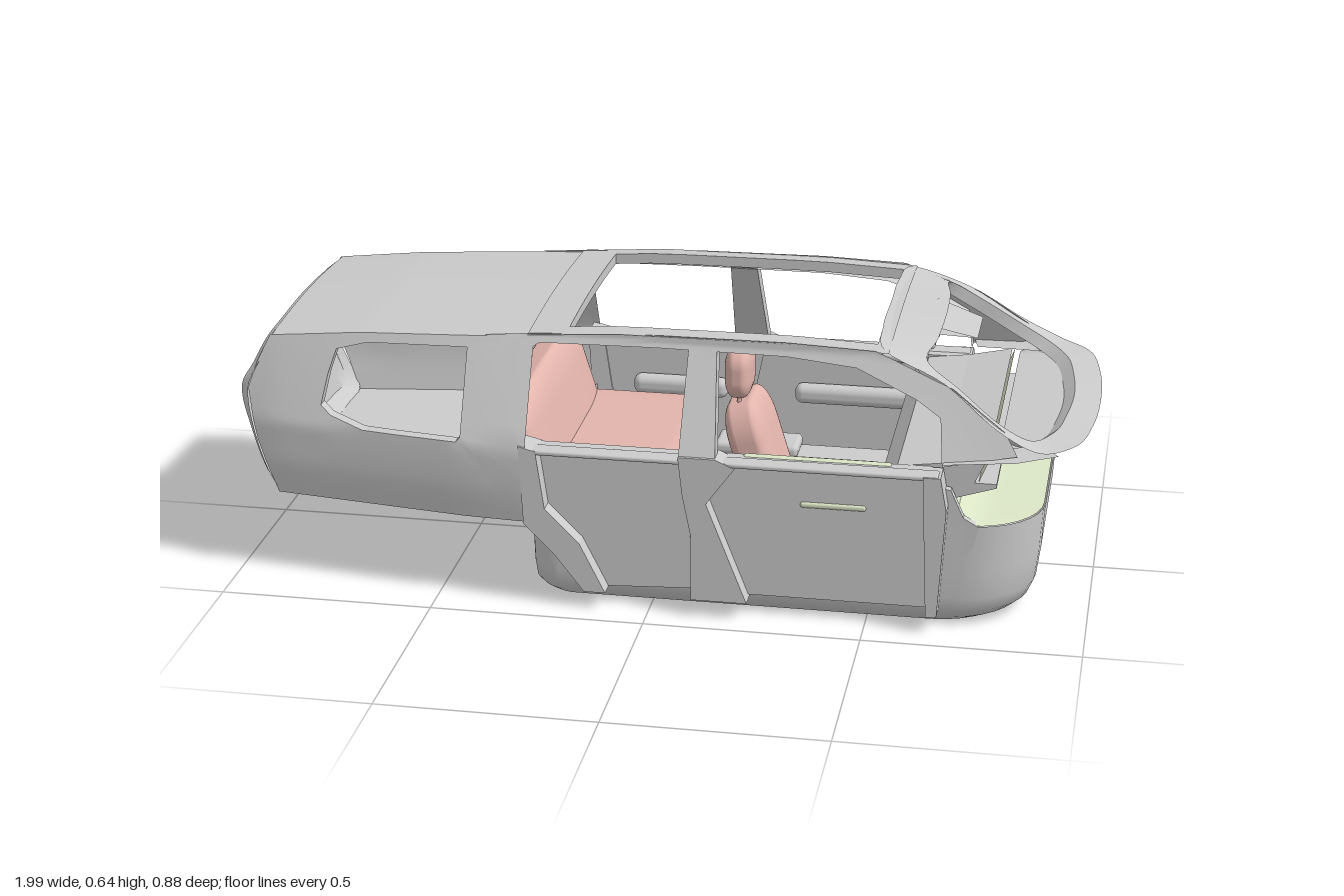
import * as THREE from 'three';
import { toCreasedNormals } from 'three/addons/utils/BufferGeometryUtils.js';
import { RoundedBoxGeometry } from 'three/addons/geometries/RoundedBoxGeometry.js';
import { ParametricGeometry } from 'three/addons/geometries/ParametricGeometry.js';

const material = (color) => new THREE.MeshStandardMaterial({ color, side: THREE.DoubleSide });
const grey = material(0xcccccc), pink = material(0xe2b4ac), green = material(0xdbe5c6);
const { lerp, clamp } = THREE.MathUtils;

// Point on a polyline, each segment taking an equal share of t
function along(pts, t) {
  const f = t * (pts.length - 1), i = Math.min(Math.floor(f), pts.length - 2);
  return pts[i].map((a, k) => lerp(a, pts[i + 1][k], f - i));
}

// Piecewise linear table lookup: [[x, value], ...]
function table(rows, x) {
  for (let i = 1; i < rows.length; i++) if (x <= rows[i][0] || i === rows.length - 1) {
    const [a, b] = [rows[i - 1], rows[i]];
    return lerp(a[1], b[1], clamp((x - a[0]) / (b[0] - a[0]), 0, 1));
  }
}

// Half width of the body at a station x and height y (vertical below the belt, leaning in above)
function halfWidth(x, y) {
  const belt = table([[-0.98, 0.34], [-0.9, 0.36], [-0.44, 0.425], [-0.3, 0.435], [0.6, 0.435], [0.82, 0.405]], x);
  const top = table([[-0.95, 0.28], [-0.4, 0.31], [0.5, 0.32]], x);
  return lerp(belt, top, clamp((y - 0.38) / 0.24, 0, 1)) - Math.max(0, 0.28 - y) * 0.15;
}

// Surface through matching polylines, optionally bent by a rule
function strip(rows, n = 5, m = 5, map = (p) => p) {
  const g = new ParametricGeometry((u, v, out) => {
    out.set(...map(along(rows.map((r) => along(r, u)), v)));
  }, (rows[0].length - 1) * n, (rows.length - 1) * m);
  return toCreasedNormals(g, 0.6);
}

// Smooth closed ring from its half, given from centre line to centre line
function ring(half) {
  const other = half.slice(1, -1).reverse().map(([x, y, z]) => [x, y, -z]);
  const curve = new THREE.CatmullRomCurve3([...half, ...other].map((p) => new THREE.Vector3(...p)), true);
  return curve.getPoints((half.length - 1) * 12).map((p) => p.toArray());
}

// Flat outline in x,y given a thickness from z0 to z1
function slab(pts, z0, z1) {
  const g = new THREE.ExtrudeGeometry(new THREE.Shape(pts.map((p) => new THREE.Vector2(...p))),
    { depth: z1 - z0, bevelEnabled: false });
  return g.translate(0, 0, z0);
}

// Closed rounded plan outline of the floor tub at height y
function tubOutline(front, side, y) {
  const out = [], x0 = -0.29 + side, x1 = 0.89 - front, w = 0.392 - side;
  const corners = [[x1, w, 0.17, 0], [x0, w, 0.07, 1], [x0, -w, 0.07, 2], [x1, -w, 0.17, 3]];
  for (const [cx, cz, r, q] of corners) for (let i = 0; i <= 8; i++) {
    const a = (q + i / 8) * Math.PI / 2;
    out.push([cx - Math.sign(cx - 0.3) * r + r * Math.cos(a), y, cz - Math.sign(cz) * r + r * Math.sin(a)]);
  }
  return [...out, out[0]];
}

export function createModel() {
  const model = new THREE.Group();
  const add = (name, geo, mat = grey, parent = model) => {
    const mesh = new THREE.Mesh(geo, mat);
    mesh.name = name;
    parent.add(mesh);
    return mesh;
  };
  const box = (name, size, pos, r = 0.01, mat = grey, parent = model) => {
    const mesh = add(name, new RoundedBoxGeometry(...size, 4, r), mat, parent);
    mesh.position.set(...pos);
    return mesh;
  };
  // Upholstery: a strongly rounded box stretched to size
  const pad = (name, size, pos, parent, r = 0.38) => {
    const mesh = add(name, new RoundedBoxGeometry(1, 1, 1, 8, r).scale(...size), pink, parent);
    mesh.position.set(...pos);
    return mesh;
  };

  // Floor tub with a tunnel slot in the bottom
  const levels = [[0.075, 0.034, 0], [0.05, 0.018, 0.015], [0.03, 0.006, 0.035], [0.015, 0.002, 0.07], [0.006, 0, 0.14], [0, 0, 0.25]];
  add('floorTub', strip(levels.map((l) => tubOutline(...l)), 1, 1));
  const bottom = new THREE.Shape(tubOutline(...levels[0]).map((p) => new THREE.Vector2(p[0], p[2])));
  const slot = (a, b, w, y) => [[a, y, -w], [b, y, -w], [b + 0.02, y, 0], [b, y, w], [a, y, w], [a - 0.02, y, 0], [a, y, -w]];
  bottom.holes.push(new THREE.Path(slot(0.1, 0.6, 0.07, 0).map((p) => new THREE.Vector2(p[0], p[2]))));
  add('floor', new THREE.ShapeGeometry(bottom).rotateX(Math.PI / 2));
  add('tunnel', strip([slot(0.1, 0.6, 0.07, 0), slot(0.14, 0.56, 0.045, 0.08), slot(0.34, 0.36, 0, 0.08)], 1, 1));

  // Both sides
  for (const s of [1, -1]) {
    const side = new THREE.Group();
    side.name = s > 0 ? 'leftSide' : 'rightSide';
    side.scale.z = s;
    model.add(side);
    const onBody = ([x, y, d]) => [x, y, halfWidth(x, y) - d];
    const at = (pts, d) => pts.map(([x, y]) => [x, y, d]);

    // Rear quarter panel around its window, with a reveal
    const quarter = [[-0.97, 0.45], [-0.95, 0.51], [-0.92, 0.573], [-0.7, 0.595], [-0.285, 0.615], [-0.285, 0.38],
      [-0.285, 0.2], [-0.6, 0.2], [-0.9, 0.2], [-0.945, 0.33], [-0.97, 0.45]];
    const glass = [[-0.785, 0.43], [-0.772, 0.5], [-0.755, 0.555], [-0.68, 0.575], [-0.44, 0.583], [-0.44, 0.395],
      [-0.45, 0.385], [-0.6, 0.385], [-0.68, 0.386], [-0.76, 0.41], [-0.785, 0.43]];
    add('rearQuarterPanel', strip([at(quarter, 0), at(glass, 0), at(glass, 0.03)], 5, 6, onBody), grey, side);

    // Roof rail running down into the windscreen pillar
    const rail = [[-0.4, 0.612], [-0.285, 0.622], [0, 0.635], [0.3, 0.637], [0.5, 0.63], [0.68, 0.56], [0.8, 0.475], [0.83, 0.425]];
    const opening = [[-0.3, 0.585], [-0.27, 0.603], [0, 0.607], [0.3, 0.606], [0.46, 0.592], [0.6, 0.535], [0.655, 0.5], [0.665, 0.4]];
    add('roofRail', strip([at(rail, 0), at(opening, 0), at(opening, 0.045)], 4, 4, onBody), grey, side);

    // Upper middle pillar, bent to the body
    const post = (d) => [[[0.075, 0.61, d], [0.07, 0.38, d]], [[0.14, 0.61, d], [0.155, 0.38, d]]];
    const [a, b] = post(0), [c, d] = post(0.04);
    add('middlePillar', strip([a, b, d, c, a], 6, 1, onBody), grey, side);

    // Lower pillars standing proud of the doors
    add('lowerMiddlePillar', slab([[0.07, 0.39], [0.155, 0.39], [0.2, 0.37], [0.135, 0.28], [0.23, 0.04],
      [0.1, 0.04], [0.1, 0.2], [0.08, 0.3]], 0.375, 0.438), grey, side);
    add('lowerFrontPillar', slab([[0.625, 0.38], [0.665, 0.38], [0.68, 0.3], [0.665, 0.04], [0.64, 0.04]], 0.37, 0.438), grey, side);
    add('lowerRearPillar', slab([[-0.3, 0.39], [-0.26, 0.38], [-0.24, 0.24], [-0.16, 0.16], [-0.1, 0.04],
      [-0.15, 0.04], [-0.22, 0.13], [-0.29, 0.2]], 0.36, 0.436), grey, side);

    // Door trims with armrests, and the belt ledge along their tops
    add('rearDoor', slab([[-0.26, 0.38], [0.08, 0.38], [0.1, 0.05], [-0.12, 0.04], [-0.24, 0.2]], 0.365, 0.395), grey, side);
    add('frontDoor', slab([[0.15, 0.38], [0.64, 0.38], [0.65, 0.045], [0.2, 0.045], [0.13, 0.28]], 0.365, 0.395), grey, side);
    box('beltLedge', [0.94, 0.012, 0.045], [0.19, 0.376, 0.412], 0.005, grey, side);
    add('tubCheek', slab([[0.64, 0.1], [0.74, 0.2], [0.75, 0.25], [0.715, 0.27], [0.685, 0.335], [0.64, 0.345]], 0.372, 0.392), grey, side);
    for (const [x, w] of [[-0.06, 0.24], [0.4, 0.34]])
      box('armrest', [w, 0.05, 0.045], [x, 0.265, 0.348], 0.02, grey, side);
    box('doorInsert', [0.34, 0.03, 0.024], [0.38, 0.368, 0.372], 0.008, green, side);
    box('doorPull', [0.15, 0.014, 0.02], [0.42, 0.278, 0.39], 0.006, green, side);

    // Flat wing tip beside the cowl
    add('cowlWing', strip([[[0.665, 0.41, 0.43], [0.83, 0.42, 0.415], [0.92, 0.425, 0.37]],
      [[0.68, 0.41, 0.36], [0.8, 0.42, 0.33], [0.88, 0.425, 0.31]]], 3, 1), grey, side);
    box('sunVisor', [0.1, 0.012, 0.19], [0.56, 0.598, 0.19], 0.005, grey, side).rotation.z = -0.2;
  }

  // Windscreen surround: header, pillars and wide cowl
  const screenOuter = [[0.5, 0.64, 0], [0.5, 0.638, 0.17], [0.52, 0.627, 0.305], [0.66, 0.57, 0.345], [0.79, 0.48, 0.39],
    [0.88, 0.437, 0.39], [0.955, 0.432, 0.32], [0.987, 0.43, 0.18], [0.997, 0.43, 0]];
  const screenInner = [[0.63, 0.615, 0], [0.625, 0.61, 0.16], [0.615, 0.6, 0.285], [0.69, 0.55, 0.315], [0.79, 0.48, 0.345],
    [0.855, 0.445, 0.335], [0.905, 0.438, 0.25], [0.925, 0.438, 0.14], [0.935, 0.438, 0]];
  const screenLip = screenInner.map(([x, y, z]) => [x - 0.025, y - 0.02, z * 0.98]);
  add('windscreenSurround', strip([screenOuter, screenInner, screenLip].map(ring), 1, 3));
  const deckFront = [[0.8, 0.42, -0.345], [0.87, 0.418, -0.31], [0.91, 0.418, -0.2], [0.93, 0.418, 0],
    [0.91, 0.418, 0.2], [0.87, 0.418, 0.31], [0.8, 0.42, 0.345]];
  add('cowlDeck', strip([deckFront, deckFront.map(([, , z]) => [0.785, 0.41, z])], 3, 2));

  // Tailgate: rim, upper window opening and bulging lower panel
  const rim = [[-0.91, 0.587, 0], [-0.91, 0.582, 0.18], [-0.92, 0.568, 0.28], [-0.945, 0.51, 0.312], [-0.97, 0.45, 0.325],
    [-0.945, 0.32, 0.348], [-0.9, 0.21, 0.347], [-0.9, 0.2, 0.25], [-0.905, 0.2, 0]];
  const bulge = [[-0.93, 0.577, 0], [-0.93, 0.571, 0.17], [-0.94, 0.552, 0.265], [-0.965, 0.5, 0.295], [-0.99, 0.45, 0.31],
    [-0.965, 0.34, 0.325], [-0.93, 0.235, 0.32], [-0.935, 0.225, 0.23], [-0.945, 0.225, 0]];
  const hatch = [[-0.905, 0.56, 0], [-0.905, 0.555, 0.15], [-0.91, 0.538, 0.235], [-0.935, 0.495, 0.265], [-0.955, 0.45, 0.282],
    [-0.965, 0.42, 0.28], [-0.97, 0.405, 0.25], [-0.975, 0.4, 0.17], [-0.985, 0.4, 0]];
  add('tailgate', strip([rim, bulge, hatch].map(ring), 1, 4));

  // Rear roof and load floor, spanning the body
  const span = (x0, x1, heights, crown) => new ParametricGeometry((u, v, out) => {
    const x = lerp(x0, x1, u), k = 2 * v - 1, y = table(heights, x);
    out.set(x, y + crown * (1 - k * k), k * halfWidth(x, y));
  }, 16, 16);
  add('rearRoof', span(-0.915, -0.285, [[-0.92, 0.573], [-0.7, 0.595], [-0.285, 0.615]], 0.014));
  add('loadFloor', span(-0.9, -0.285, [[-0.9, 0.2], [-0.285, 0.2]], 0));

  // Front roof around its large opening
  const roofOuter = [[-0.3, 0], [-0.3, 0.318], [0.53, 0.318], [0.53, -0.318], [-0.3, -0.318], [-0.3, 0]];
  const roofHole = [[-0.21, 0], [-0.21, 0.27], [0.5, 0.27], [0.5, -0.27], [-0.21, -0.27], [-0.21, 0]];
  const roofY = ([x, z, drop]) => [x, table([[-0.3, 0.63], [-0.1, 0.645], [0.3, 0.647], [0.53, 0.637]], x) - 0.12 * z * z - drop, z];
  const lift = (pts, drop) => pts.map(([x, z]) => [x, z, drop]);
  add('roofFrame', strip([lift(roofOuter, 0), lift(roofHole, 0), lift(roofHole, 0.025)], 8, 2, roofY));

  // Header housing and mirror
  add('headerHousing', strip([[[0.6, 0.62, -0.1], [0.6, 0.62, 0.1]], [[0.71, 0.588, -0.075], [0.71, 0.588, 0.075]],
    [[0.62, 0.595, -0.085], [0.62, 0.595, 0.085]]], 1, 1));
  box('mirror', [0.02, 0.032, 0.11], [0.6, 0.56, 0], 0.009);
  add('mirrorStalk', new THREE.CylinderGeometry(0.006, 0.006, 0.04, 10)).position.set(0.61, 0.58, 0);

  // Dashboard with a protruding ledge, and coloured front sheets
  add('dashboard', slab([[0.52, 0.33], [0.56, 0.375], [0.66, 0.388], [0.765, 0.41], [0.735, 0.345], [0.785, 0.345],
    [0.785, 0.335], [0.69, 0.305], [0.66, 0.22], [0.58, 0.2]], -0.362, 0.362));
  add('upperDashSheet', strip([[[0.742, 0.34, -0.355], [0.742, 0.34, 0.355]], [[0.772, 0.412, -0.355], [0.772, 0.412, 0.355]]], 1, 1), green);
  const nose = tubOutline(0.003, 0.003, 0.25).filter(([x]) => x > 0.7);
  const half = nose.length / 2;
  const noseRim = [...nose.slice(half), ...nose.slice(0, half)];
  const noseRow = (x, y) => noseRim.map(([, , z]) => [x, y, z]);
  add('noseSheet', strip([noseRim, noseRow(0.74, 0.255), noseRow(0.7, 0.275), noseRow(0.685, 0.312)], 1, 3), green);

  // Centre console
  box('console', [0.46, 0.2, 0.11], [0.31, 0.15, -0.005], 0.025);
  box('consoleLid', [0.2, 0.03, 0.1], [0.19, 0.26, -0.005], 0.012);
  box('footRest', [0.2, 0.02, 0.07], [0.375, 0.03, -0.205], 0.009);

  // Seats
  const seat = (name, x, z, width, heads, length, backHeight) => {
    const group = new THREE.Group();
    group.name = name;
    group.position.set(x, 0, z);
    model.add(group);
    pad('cushion', [length, 0.13, width], [length / 2 - 0.05, 0.205, 0], group, 0.15);
    box('base', [length * 0.8, 0.1, width * 0.85], [length / 2 - 0.04, 0.12, 0], 0.02, pink, group);
    pad('backrest', [0.1, backHeight, width], [-0.035, 0.17 + backHeight / 2, 0], group, 0.3).rotation.z = 0.3;
    for (const h of heads) {
      pad('headrest', [0.065, 0.125, 0.122], [-0.08, 0.523, h], group);
      for (const p of [-0.025, 0.025])
        add('headrestPost', new THREE.CylinderGeometry(0.005, 0.005, 0.1, 8), pink, group).position.set(-0.078, 0.44, h + p);
    }
  };
  seat('frontSeat', 0.255, 0.175, 0.22, [0.025], 0.32, 0.29);
  seat('rearBench', -0.28, 0, 0.62, [-0.175, 0.175], 0.36, 0.28);
  box('benchUnderside', [0.06, 0.09, 0.5], [-0.335, 0.175, 0], 0.02, pink).rotation.z = 0.4;

  return model;
}
